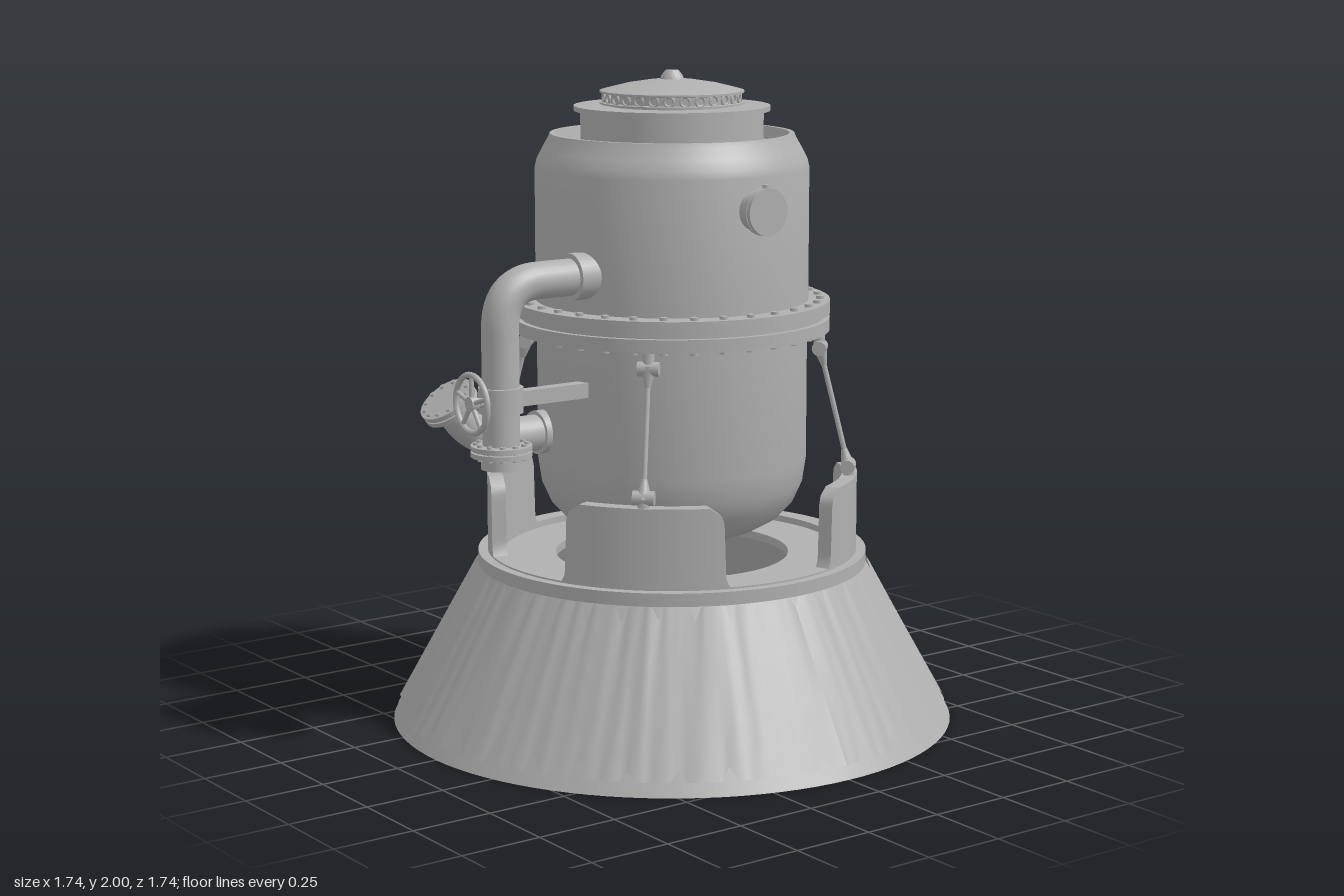
import * as THREE from 'three';
import { toCreasedNormals } from 'three/addons/utils/BufferGeometryUtils.js';

export function createModel() {
  const model = new THREE.Group();
  const grey = new THREE.MeshStandardMaterial({ color: 0xb0b0b0, side: THREE.DoubleSide });
  grey.name = 'grey metal';

  const add = (name, geometry, parent = model) => {
    const mesh = new THREE.Mesh(geometry, grey);
    mesh.name = name;
    parent.add(mesh);
    return mesh;
  };
  const lathe = (name, points, parent, segments = 96) =>
    add(name, toCreasedNormals(new THREE.LatheGeometry(points.map(p => new THREE.Vector2(...p)), segments), 0.5), parent);
  const V = (x, y, z) => new THREE.Vector3(x, y, z);
  // Cylinder running from a to b
  const rod = (name, a, b, r, parent, sides = 24) => {
    const mesh = add(name, new THREE.CylinderGeometry(r, r, a.distanceTo(b), sides), parent);
    mesh.position.copy(a).lerp(b, 0.5);
    mesh.quaternion.setFromUnitVectors(V(0, 1, 0), b.clone().sub(a).normalize());
    return mesh;
  };
  // Disc stack centred on an axis, with a ring of bolts
  const boltedFlange = (name, centre, axis, r, thickness, bolts, parent) => {
    const g = new THREE.Group();
    g.name = name;
    g.position.copy(centre);
    g.quaternion.setFromUnitVectors(V(0, 1, 0), axis.clone().normalize());
    for (const s of [-1, 1])
      rod('flangeDisc', V(0, s * thickness * 0.6 - thickness * 0.45, 0), V(0, s * thickness * 0.6 + thickness * 0.45, 0), r, g, 32);
    rod('gasket', V(0, -thickness * 0.3, 0), V(0, thickness * 0.3, 0), r * 0.85, g);
    for (let i = 0; i < bolts; i++) {
      const a = (i / bolts) * Math.PI * 2, x = Math.sin(a) * r * 0.82, z = Math.cos(a) * r * 0.82;
      rod('flangeBolt', V(x, -thickness * 1.5, z), V(x, thickness * 1.5, z), r * 0.09, g, 6);
    }
    parent.add(g);
  };
  let seed = 7;
  const random = () => (seed = (seed * 16807) % 2147483647) / 2147483647;

  // Conical skirt, smooth and hollow
  const coneRadius = y => 0.868 - y * 0.555;
  lathe('skirtShell', [[0.858, 0], [0.868, 0], [coneRadius(0.49), 0.49], [coneRadius(0.49) - 0.012, 0.49], [0.858, 0]]);

  // Pleated cladding with torn upper and lower edges
  const columns = 216, rows = 3, position = [], index = [], profile = [];
  for (let i = 0; i < columns; i++) {
    const notch = i % 6 === 0 ? 0.5 + 0.5 * random() : 0;
    const lowNotch = i % 6 === 3 ? 0.5 + 0.5 * random() : 0;
    profile.push({ top: 0.49 - 0.055 * notch, low: 0.04 + 0.045 * lowNotch,
      a: notch ? 0 : random() * 0.01, b: lowNotch ? 0 : random() * 0.008 });
  }
  for (let i = 0; i <= columns; i++) {
    const p = profile[i % columns], angle = (i / columns) * Math.PI * 2;
    for (let j = 0; j <= rows; j++) {
      const t = j / rows, y = p.low + (p.top - p.low) * t;
      const r = coneRadius(y) + 0.003 + p.a * t + p.b * (1 - t);
      position.push(r * Math.sin(angle), y, r * Math.cos(angle));
      if (i < columns && j < rows) {
        const k = i * (rows + 1) + j, n = k + rows + 1;
        index.push(k, n, n + 1, k, n + 1, k + 1);
      }
    }
  }
  const cladding = new THREE.BufferGeometry();
  cladding.setAttribute('position', new THREE.Float32BufferAttribute(position, 3));
  cladding.setIndex(index);
  cladding.computeVertexNormals();
  add('pleatedCladding', cladding);

  // Collar and floor ring
  lathe('collar', [[0.36, 0.49], [0.6, 0.49], [0.6, 0.53], [0.57, 0.53], [0.57, 0.535], [0.525, 0.535], [0.525, 0.515], [0.36, 0.515], [0.36, 0.49]]);

  // Four curved guard panels with rounded upper corners
  for (let q = 0; q < 4; q++) {
    const panel = new THREE.BoxGeometry(1, 1, 1, 48, 10, 1), p = panel.attributes.position;
    for (let i = 0; i < p.count; i++) {
      const v = p.getY(i) + 0.5, side = p.getX(i) * 2;
      // The edge flares at the foot, leans in and rounds over at the top
      const foot = Math.max(0, 0.15 - v) / 0.15, head = Math.max(0, v - 0.78) / 0.22;
      const half = 0.435 - 0.015 * v + 0.025 * foot * foot - 0.075 * (1 - Math.sqrt(1 - Math.min(1, head * head)));
      const angle = side * half + Math.PI / 4 + q * Math.PI / 2;
      const r = 0.5475 + p.getZ(i) * 0.045;
      p.setXYZ(i, r * Math.sin(angle), 0.53 + v * 0.243, r * Math.cos(angle));
    }
    panel.computeVertexNormals();
    add('guardPanel', panel);
  }

  // Tank with rounded base, shoulder and recessed top
  lathe('lowerTank', [[0, 0.582], [0.2, 0.588], [0.27, 0.603], [0.33, 0.637], [0.375, 0.685], [0.402, 0.745], [0.413, 0.82], [0.413, 1.22]]);
  lathe('upperTank', [[0.416, 1.3], [0.416, 1.71], [0.41, 1.735], [0.395, 1.765], [0.375, 1.8], [0.37, 1.813], [0.355, 1.813], [0.345, 1.775], [0, 1.775]]);

  // Main flange pair with bolts
  lathe('lowerMainFlange', [[0.4, 1.215], [0.482, 1.215], [0.482, 1.255], [0.4, 1.255]]);
  lathe('flangeGasket', [[0.4, 1.25], [0.465, 1.25], [0.465, 1.27], [0.4, 1.27]]);
  lathe('upperMainFlange', [[0.4, 1.267], [0.482, 1.267], [0.482, 1.308], [0.4, 1.308]]);
  for (let i = 0; i < 32; i++) {
    const a = ((i + 0.5) / 32) * Math.PI * 2, x = 0.452 * Math.sin(a), z = 0.452 * Math.cos(a);
    rod('mainFlangeBolt', V(x, 1.205, z), V(x, 1.317, z), 0.012, model, 8);
  }

  // Hatch neck, rim and domed lid
  lathe('hatchNeck', [[0.277, 1.77], [0.277, 1.88], [0.297, 1.88], [0.297, 1.895], [0, 1.895]]);
  lathe('hatchLid', [[0.195, 1.895], [0.195, 1.9], [0.218, 1.9], [0.218, 1.905], [0.205, 1.907], [0.205, 1.932], [0.218, 1.934],
    [0.218, 1.94], [0.2, 1.945], [0.14, 1.96], [0.07, 1.971], [0.036, 1.974], [0.032, 1.985], [0.02, 2], [0, 2]]);
  for (let i = 0; i < 28; i++) {
    const a = (i / 28) * Math.PI * 2;
    const ring = add('lidRoller', new THREE.TorusGeometry(0.014, 0.004, 6, 16));
    ring.position.set(0.208 * Math.sin(a), 1.92, 0.208 * Math.cos(a));
    ring.rotation.y = a;
  }

  // Short capped ports, front and back
  for (const s of [-1, 1]) {
    const port = new THREE.Group();
    port.name = 'inspectionPort';
    rod('portNeck', V(0, 1.615, s * 0.4), V(0, 1.615, s * 0.46), 0.06, port, 32);
    rod('portRim', V(0, 1.615, s * 0.447), V(0, 1.615, s * 0.458), 0.07, port, 32);
    rod('portCap', V(0, 1.615, s * 0.461), V(0, 1.615, s * 0.474), 0.07, port, 32);
    rod('portLatch', V(0, 1.68, s * 0.46), V(0, 1.695, s * 0.46), 0.01, port, 8);
    model.add(port);
  }

  // Four tie rods with eye ends
  for (let q = 0; q < 4; q++) {
    const tie = new THREE.Group();
    tie.name = 'tieRod';
    const top = V(0, 1.165, 0.455), bottom = V(0, 0.8, 0.545);
    rod('rod', top, bottom, 0.008, tie, 10);
    const d = bottom.clone().sub(top).normalize();
    for (const [end, s] of [[top, 1], [bottom, -1]]) {
      const eye = add('rodEye', new THREE.CylinderGeometry(0.009, 0.024, 0.06, 12), tie);
      eye.position.copy(end).addScaledVector(d, s * 0.025);
      eye.quaternion.setFromUnitVectors(V(0, 1, 0), d.clone().multiplyScalar(s));
      rod('eyePin', end.clone().add(V(-0.032, 0, 0)), end.clone().add(V(0.032, 0, 0)), 0.022, tie, 16);
    }
    rod('upperLug', V(0, 1.16, 0.455), V(0, 1.22, 0.45), 0.018, tie, 10);
    rod('lowerLug', V(0, 0.765, 0.548), V(0, 0.8, 0.545), 0.018, tie, 10);
    tie.rotation.y = Math.PI / 4 + q * Math.PI / 2;
    model.add(tie);
  }

  // Upper pipe: out of the tank and down through the valve
  const pipes = new THREE.Group();
  pipes.name = 'pipework';
  model.add(pipes);
  const bentPipe = (name, a, corner, b, bend) => {
    const path = new THREE.CurvePath();
    const p = corner.clone().addScaledVector(a.clone().sub(corner).normalize(), bend);
    const q = corner.clone().addScaledVector(b.clone().sub(corner).normalize(), bend);
    path.add(new THREE.LineCurve3(a, p));
    path.add(new THREE.QuadraticBezierCurve3(p, corner, q));
    path.add(new THREE.LineCurve3(q, b));
    add(name, new THREE.TubeGeometry(path, 48, 0.055, 24), pipes);
  };
  bentPipe('upperPipe', V(-0.38, 1.42, 0.1), V(-0.69, 1.42, 0.1), V(-0.69, 0.92, 0.1), 0.13);
  rod('upperPipeSleeve', V(-0.36, 1.42, 0.1), V(-0.445, 1.42, 0.1), 0.07, pipes, 32);
  rod('valveBody', V(-0.69, 1.045, 0.1), V(-0.69, 1.12, 0.1), 0.066, pipes, 32);
  boltedFlange('outletFlange', V(-0.69, 0.932, 0.1), V(0, 1, 0), 0.09, 0.016, 12, pipes);
  rod('outletEnd', V(-0.69, 0.878, 0.1), V(-0.69, 0.93, 0.1), 0.06, pipes, 32);
  const bracket = add('pipeBracket', new THREE.BoxGeometry(0.26, 0.045, 0.04), pipes);
  bracket.position.set(-0.51, 1.08, 0.1);

  // Handwheel on the valve
  const wheel = add('handwheelRim', new THREE.TorusGeometry(0.085, 0.009, 8, 40), pipes);
  wheel.position.set(-0.79, 1.08, 0.1);
  wheel.rotation.y = Math.PI / 2;
  rod('valveStem', V(-0.8, 1.08, 0.1), V(-0.69, 1.08, 0.1), 0.015, pipes, 12);
  rod('handwheelHub', V(-0.8, 1.08, 0.1), V(-0.775, 1.08, 0.1), 0.022, pipes, 16);
  for (let i = 0; i < 5; i++) {
    const a = (i / 5) * Math.PI * 2;
    rod('handwheelSpoke', V(-0.79, 1.08, 0.1), V(-0.79, 1.08 + 0.085 * Math.cos(a), 0.1 + 0.085 * Math.sin(a)), 0.007, pipes, 8);
  }

  // Lower pipe: out of the tank and up to a tilted flange
  bentPipe('lowerPipe', V(-0.38, 0.92, -0.112), V(-0.64, 0.92, -0.112), V(-0.735, 1.045, -0.112), 0.1);
  rod('lowerPipeSleeve', V(-0.36, 0.92, -0.112), V(-0.43, 0.92, -0.112), 0.066, pipes, 32);
  boltedFlange('lowerPipeFlange', V(-0.735, 1.045, -0.112), V(-0.6, 0.8, 0), 0.088, 0.016, 12, pipes);

  return model;
}
